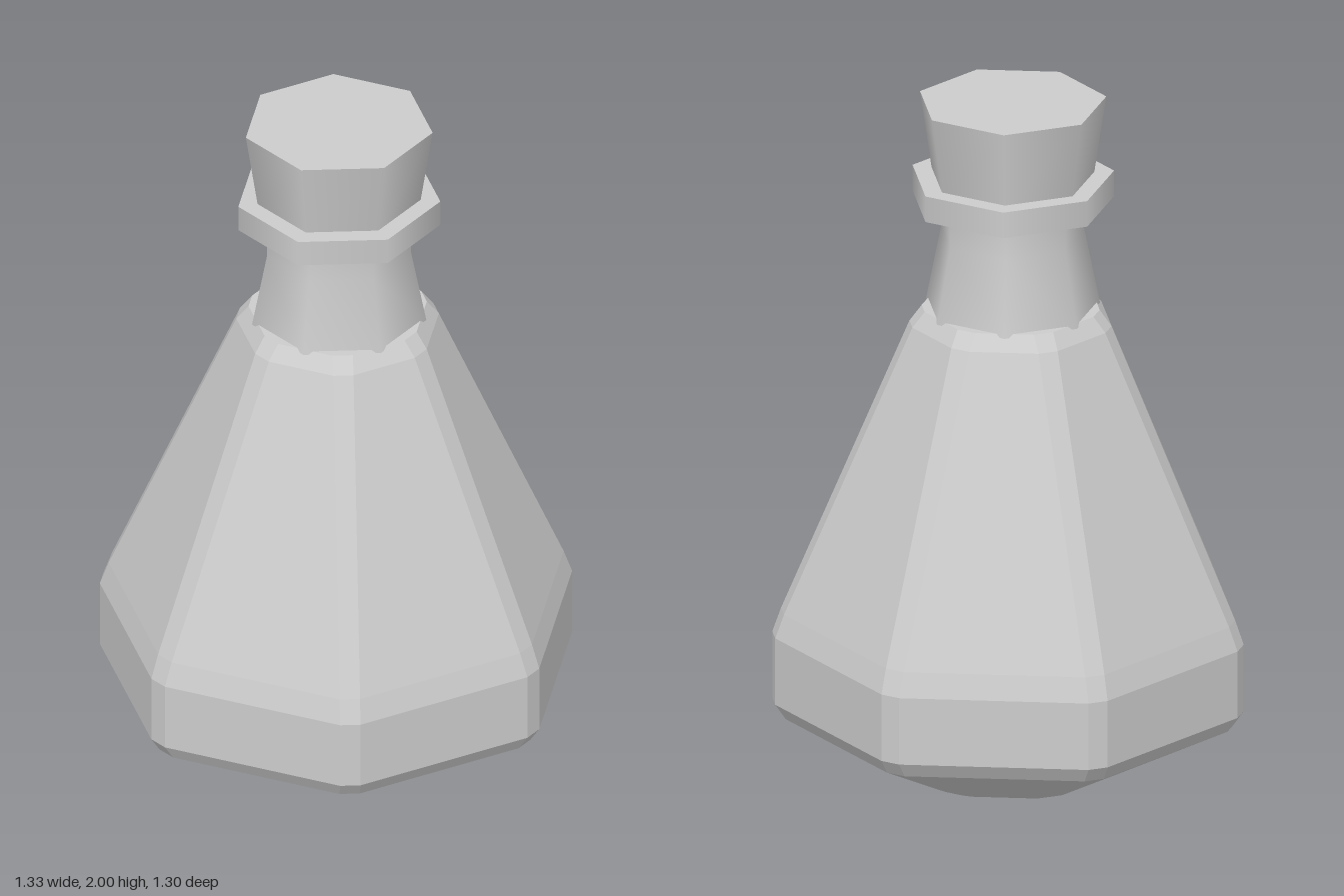
import * as THREE from 'three';

const SIDES = 7;
const STEP = (Math.PI * 2) / SIDES;

// Heptagon with cut corners, one corner pointing to the back
function chamferedRing(radius, y, cut) {
  const corner = (k) => {
    const a = Math.PI + k * STEP;
    return new THREE.Vector3(radius * Math.sin(a), y, radius * Math.cos(a));
  };
  const t = radius > 0 ? Math.min(cut / (2 * radius * Math.sin(STEP / 2)), 0.2) : 0;
  const points = [];
  for (let k = 0; k < SIDES; k++) {
    points.push(corner(k).lerp(corner(k - 1), t), corner(k).lerp(corner(k + 1), t));
  }
  return points;
}

// Skin a stack of rings; a radius of 0 closes the end as a fan
function loft(profile, cut) {
  const rings = profile.map(([r, y]) => chamferedRing(r, y, cut));
  const pos = [];
  const tri = (...pts) => pts.forEach((p) => pos.push(p.x, p.y, p.z));
  for (let i = 0; i < rings.length - 1; i++) {
    const low = rings[i], high = rings[i + 1];
    for (let k = 0; k < low.length; k++) {
      const n = (k + 1) % low.length;
      if (profile[i][0] > 0) tri(low[k], low[n], high[n]);
      if (profile[i + 1][0] > 0) tri(low[k], high[n], high[k]);
    }
  }
  const geometry = new THREE.BufferGeometry();
  geometry.setAttribute('position', new THREE.Float32BufferAttribute(pos, 3));
  geometry.computeVertexNormals();
  return geometry;
}

export function createModel() {
  const model = new THREE.Group();
  model.name = 'stopperedFlask';
  const faceted = new THREE.MeshStandardMaterial({ color: 0xcccccc, flatShading: true });
  const smooth = new THREE.MeshStandardMaterial({ color: 0xcccccc });
  const open = new THREE.MeshStandardMaterial({ color: 0xcccccc, side: THREE.DoubleSide });

  const add = (name, geometry, material, y = 0) => {
    const mesh = new THREE.Mesh(geometry, material);
    mesh.name = name;
    mesh.position.set(0, y, 0.022);
    model.add(mesh);
  };

  // Body: recessed base, foot, belly with bevels, tapering shoulder
  add('body', loft([
    [0, 0.06], [0.19, 0.06], [0.25, 0.012], [0.285, 0], [0.335, 0.02],
    [0.66, 0.185], [0.69, 0.23], [0.69, 0.43], [0.665, 0.5],
    [0.3, 1.345], [0.265, 1.39], [0, 1.39],
  ], 0.032), faceted);

  // Neck: flared at the foot, straight above
  const neck = [[0.252, 1.38], [0.208, 1.6], [0.208, 1.72]];
  add('neck', new THREE.LatheGeometry(neck.map(([r, y]) => new THREE.Vector2(r, y)), SIDES), open);

  // Lip ring around the mouth
  add('lip', new THREE.CylinderGeometry(0.292, 0.292, 0.077, SIDES), smooth, 1.737);

  // Tapered stopper
  add('stopper', new THREE.CylinderGeometry(0.27, 0.232, 0.25, SIDES), smooth, 1.875);

  return model;
}
